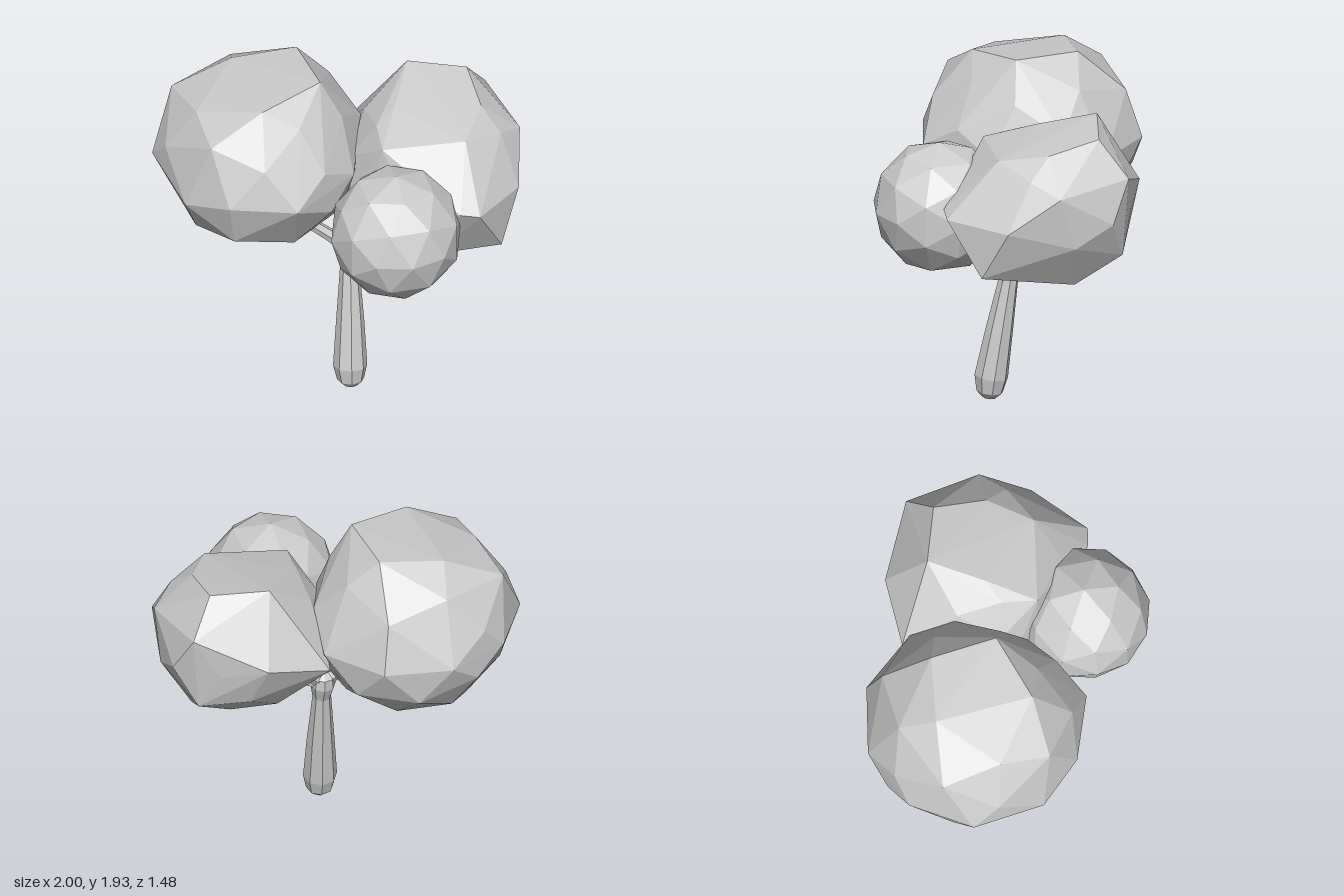
import * as THREE from 'three';
import { ConvexGeometry } from 'three/addons/geometries/ConvexGeometry.js';
import { mergeVertices } from 'three/addons/utils/BufferGeometryUtils.js';

const material = new THREE.MeshStandardMaterial({ color: 0xcccccc, flatShading: true });
const V = (p) => new THREE.Vector3(...p);

// Faceted leaf clump: a stretched icosphere whose nearest points are pulled to the given corners
function clump(name, center, radii, roll, corners = []) {
  let ball = new THREE.IcosahedronGeometry(1, 1);
  ball.deleteAttribute('normal');
  ball.deleteAttribute('uv');
  ball = mergeVertices(ball, 1e-3);
  ball.rotateX(Math.atan(2 / (1 + Math.sqrt(5)))); // one pole faces the front
  ball.rotateZ(roll).scale(...radii).translate(...center);
  const pos = ball.attributes.position;
  const points = [];
  for (let i = 0; i < pos.count; i++) points.push(new THREE.Vector3().fromBufferAttribute(pos, i));
  const moved = new Set();
  for (const c of corners.map(V)) {
    const nearest = points
      .filter((p) => !moved.has(p))
      .reduce((a, b) => (b.distanceToSquared(c) < a.distanceToSquared(c) ? b : a));
    nearest.copy(c);
    moved.add(nearest);
  }
  const mesh = new THREE.Mesh(new ConvexGeometry(points), material);
  mesh.name = name;
  return mesh;
}

// Tapered limb: rings of the given radius strung along a bent path, closed at both ends
function limb(name, stations, sides) {
  const centers = stations.map((s) => V(s));
  const verts = [];
  const index = [];
  const up = new THREE.Vector3(0, 1, 0);
  stations.forEach((s, i) => {
    const dir = centers[Math.min(i + 1, centers.length - 1)].clone()
      .sub(centers[Math.max(i - 1, 0)]).normalize();
    const turn = new THREE.Quaternion().setFromUnitVectors(up, dir);
    for (let j = 0; j < sides; j++) {
      const a = ((j + 0.5) / sides) * Math.PI * 2;
      const p = new THREE.Vector3(Math.sin(a), 0, Math.cos(a)).multiplyScalar(s[3]);
      verts.push(...p.applyQuaternion(turn).add(centers[i]).toArray());
      if (i > 0) {
        const k = (j + 1) % sides;
        const [b, t] = [(i - 1) * sides, i * sides];
        index.push(b + j, b + k, t + k, b + j, t + k, t + j);
      }
    }
  });
  const last = (stations.length - 1) * sides;
  for (let j = 1; j < sides - 1; j++) {
    index.push(0, j + 1, j, last, last + j, last + j + 1);
  }
  const geo = new THREE.BufferGeometry();
  geo.setAttribute('position', new THREE.Float32BufferAttribute(verts, 3));
  geo.setIndex(index);
  geo.computeVertexNormals();
  const mesh = new THREE.Mesh(geo, material);
  mesh.name = name;
  return mesh;
}

export function createModel() {
  const tree = new THREE.Group();
  tree.name = 'tree';

  // Leaning trunk with a rounded foot and a swelling at the fork
  tree.add(limb('trunk', [
    [0.12, 0.005, 0.16, 0.04], [0.118, 0.04, 0.155, 0.075], [0.113, 0.13, 0.147, 0.095],
    [0.1, 0.4, 0.105, 0.078], [0.08, 0.74, 0.05, 0.052],
    [0.07, 0.83, 0.035, 0.07], [0.065, 0.89, 0.03, 0.062], [0.065, 0.92, 0.03, 0.03],
  ], 8));

  // Branches spreading from the fork into the clumps
  const fork = [0.07, 0.855, 0.035];
  const branches = {
    rightBranch: [[-0.03, 0.935, 0.08], [-0.2, 1.08, 0.15]],
    frontBranch: [[0.3, 0.89, 0.04], [0.45, 0.95, 0.2]],
    leftBranch: [[0.3, 0.89, 0.0], [0.58, 0.95, -0.06]],
    backBranch: [[0.13, 0.915, -0.02], [0.24, 1.02, -0.12]],
  };
  for (const [name, [mid, tip]] of Object.entries(branches)) {
    tree.add(limb(name, [[...fork, 0.055], [...mid, 0.036], [...tip, 0.03]], 6));
  }

  // Leaf clumps
  tree.add(clump('frontClump', [0.447, 1.245, 0.37], [0.37, 0.375, 0.37], Math.PI / 10));
  tree.add(clump('rightClump', [-0.43, 1.4, 0.03], [0.57, 0.52, 0.62], 0, [
    [-0.09, 1.93, 0.05], [-0.32, 1.92, -0.25], [-0.65, 1.88, -0.1], [-0.33, 1.88, 0.35],
    [-0.95, 1.73, 0.05], [-0.57, 1.71, 0.54], [-1, 1.4, -0.13], [-1, 1.4, 0.25],
    [-0.74, 0.9, 0.05], [-0.43, 0.91, 0.2], [-0.2, 1.0, 0.1], [0.135, 1.42, 0.15],
    [-0.92, 1.14, 0.1], [-0.06, 1.4, -0.47], [-0.79, 1.4, -0.45], [-0.06, 1.4, 0.57],
  ]));
  tree.add(clump('leftClump', [0.47, 1.33, -0.24], [0.49, 0.44, 0.48], 0, [
    [0.25, 1.79, -0.48], [0.57, 1.76, -0.56], [0.73, 1.7, -0.31], [0.3, 1.62, 0.15],
    [0.62, 1.56, -0.74], [0.2, 1.4, -0.71], [-0.1, 1.32, -0.5], [1, 1.32, -0.14],
    [0.95, 1.03, 0.02], [0.79, 1.36, 0.27], [0.89, 1.34, 0.23], [0.92, 1.52, -0.42],
    [0.45, 0.87, -0.03], [0.7, 0.94, -0.45], [0.6, 1.1, -0.7], [-0.03, 1.1, -0.2],
    [0.1, 1.25, 0.1], [0.6, 0.96, 0.12], [0.58, 1.63, 0.04], [0.28, 1.71, -0.15],
    [0.75, 1.33, -0.68],
  ]));
  return tree;
}
